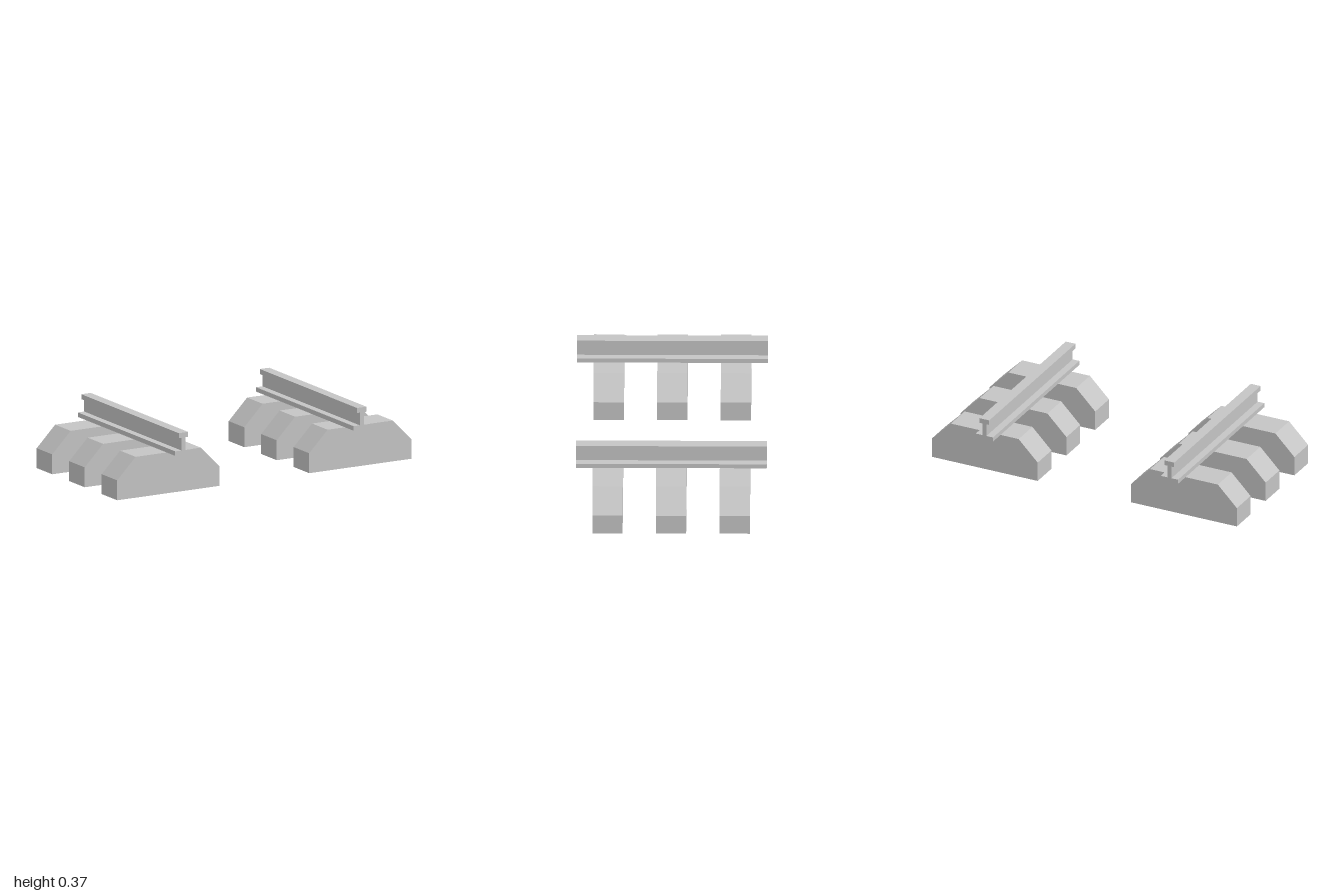
import * as THREE from 'three';

const steel = new THREE.MeshStandardMaterial({ color: 0xc4c4c4 });
steel.name = 'light grey';

// Extrudes a symmetric profile (half outline, mirrored) along x, centred
function prism(half, length) {
  const mirrored = half.map(([x, y]) => [-x, y]).reverse();
  const shape = new THREE.Shape([...half, ...mirrored].map(([x, y]) => new THREE.Vector2(x, y)));
  const geometry = new THREE.ExtrudeGeometry(shape, { depth: length, bevelEnabled: false });
  return geometry.translate(0, 0, -length / 2).rotateY(Math.PI / 2);
}

function part(name, geometry, x, z) {
  const mesh = new THREE.Mesh(geometry, steel);
  mesh.name = name;
  mesh.position.set(x, 0, z);
  return mesh;
}

export function createModel() {
  const model = new THREE.Group();
  model.name = 'railTrack';

  // Sleeper with sloped ends, and I-shaped rail
  const sleeper = prism([[0.336, 0], [0.336, 0.116], [0.215, 0.238]], 0.172);
  const rail = prism([
    [0.055, 0.238], [0.055, 0.264], [0.013, 0.264],
    [0.013, 0.338], [0.031, 0.338], [0.031, 0.367],
  ], 1.08);

  // Two identical half tracks, facing each other
  for (const side of [1, -1]) {
    const track = new THREE.Group();
    track.name = side > 0 ? 'backTrack' : 'frontTrack';
    for (const i of [-1, 0, 1]) track.add(part('sleeper', sleeper, i * 0.36, 0));
    track.add(part('rail', rail, 0, 0.045));
    track.position.set(side * 0.447, 0, -side * 0.447);
    track.rotation.y = -Math.PI / 4 + (side < 0 ? Math.PI : 0);
    model.add(track);
  }
  return model;
}
